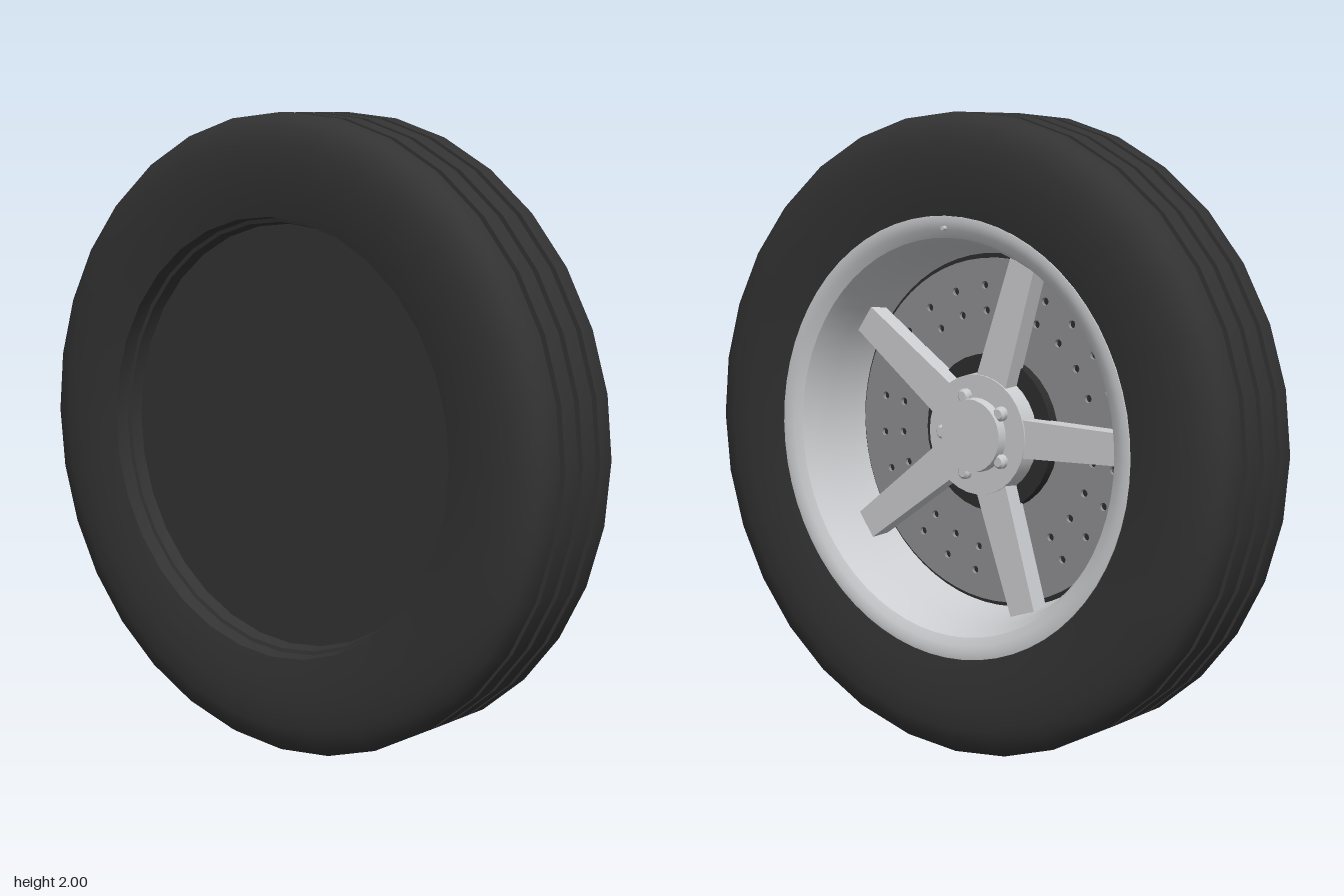
import * as THREE from 'three';
import { toCreasedNormals, mergeGeometries } from 'three/addons/utils/BufferGeometryUtils.js';

const material = (name, color) => {
  const m = new THREE.MeshStandardMaterial({ color });
  m.name = name;
  return m;
};

// Everything is built around the local y axis, which becomes the axle (+x).
const lathe = (points, segments = 32) =>
  toCreasedNormals(new THREE.LatheGeometry(points.map(([r, y]) => new THREE.Vector2(r, y)), segments), 0.65);

const cylinder = (radius, bottom, top, segments = 32, topRadius = radius) =>
  new THREE.CylinderGeometry(topRadius, radius, top - bottom, segments).translate(0, (top + bottom) / 2, 0);

export function createModel() {
  const rubber = material('black rubber', 0x333333);
  const alloy = material('light alloy', 0xcccdd0);
  const steel = material('brake steel', 0x8f8f92);
  const dark = material('dark metal', 0x2d2d2d);

  const model = new THREE.Group();
  model.name = 'wheel';
  const axle = new THREE.Group();
  axle.name = 'axle';
  axle.rotation.z = -Math.PI / 2;
  axle.position.y = 1;
  model.add(axle);

  const add = (name, geometry, mat) => {
    const mesh = new THREE.Mesh(geometry, mat);
    mesh.name = name;
    axle.add(mesh);
    return mesh;
  };

  // Tyre: closed recessed back, sidewalls and a tread with three grooves
  const side = [[0.687, 0.205], [0.75, 0.216], [0.84, 0.222], [0.91, 0.218], [0.955, 0.205], [0.985, 0.184], [1, 0.16]];
  const tread = [-0.09, 0, 0.09].flatMap((y) => [
    [1, y - 0.012], [0.973, y - 0.012], [0.973, y + 0.012], [1, y + 0.012],
  ]);
  add('tyre', lathe([
    [0, -0.115], [0.662, -0.115], [0.67, -0.155], [0.682, -0.158],
    ...side.map(([r, y]) => [r, -y]), ...tread, ...[...side].reverse(),
  ]), rubber);

  // Rim: sloping lip, then a barrel narrowing inwards
  add('rim', lathe([
    [0.688, 0.2], [0.687, 0.208], [0.67, 0.21], [0.645, 0.203], [0.62, 0.19],
  ], 64), alloy);
  add('barrel', lathe([
    [0.62, 0.19], [0.602, 0.15], [0.59, 0.08], [0.575, 0], [0.565, -0.055],
  ], 64), alloy);
  add('valve', cylinder(0.007, 0.18, 0.22, 8).translate(-0.65, 0, 0), alloy);

  // Brake: dark back plate seen through the drilled disc, and the bearing housing
  add('backPlate', cylinder(0.57, -0.09, -0.055, 64), dark);
  const disc = new THREE.Shape().absarc(0, 0, 0.55, 0, Math.PI * 2);
  for (const radius of [0.385, 0.465]) {
    for (let i = 0; i < 24; i++) {
      const a = THREE.MathUtils.degToRad(5 + i * 15);
      disc.holes.push(new THREE.Path().absarc(-Math.sin(a) * radius, Math.cos(a) * radius, 0.0125, 0, Math.PI * 2, true));
    }
  }
  const discGeometry = new THREE.ExtrudeGeometry(disc, { depth: 0.012, bevelEnabled: false, curveSegments: 32 });
  add('brakeDisc', discGeometry.rotateX(-Math.PI / 2).translate(0, -0.052, 0), steel);
  add('bearingHousing', cylinder(0.25, -0.045, -0.005), dark);

  // Hub with raised centre cap
  add('hub', cylinder(0.195, -0.02, 0.055, 32, 0.19), alloy);
  add('centreCap', cylinder(0.118, 0.05, 0.088, 32, 0.115), alloy);

  // Five tapered spokes with a bolt between each pair
  const spoke = new THREE.BoxGeometry(0.12, 0.065, 0.42).translate(0, 0.018, -0.37);
  const p = spoke.attributes.position;
  for (let i = 0; i < p.count; i++) {
    if (p.getZ(i) < -0.4) p.setX(i, p.getX(i) * 0.8);
  }
  spoke.computeVertexNormals();
  const bolt = mergeGeometries([
    cylinder(0.023, 0.05, 0.07, 12), cylinder(0.023, 0.07, 0.078, 12, 0.015),
  ]).translate(0, 0, -0.127);
  for (let i = 0; i < 5; i++) {
    const angle = (i * Math.PI * 2) / 5;
    add('spoke', spoke, alloy).rotation.y = angle;
    add('wheelBolt', bolt, alloy).rotation.y = angle + Math.PI / 5;
  }
  return model;
}
